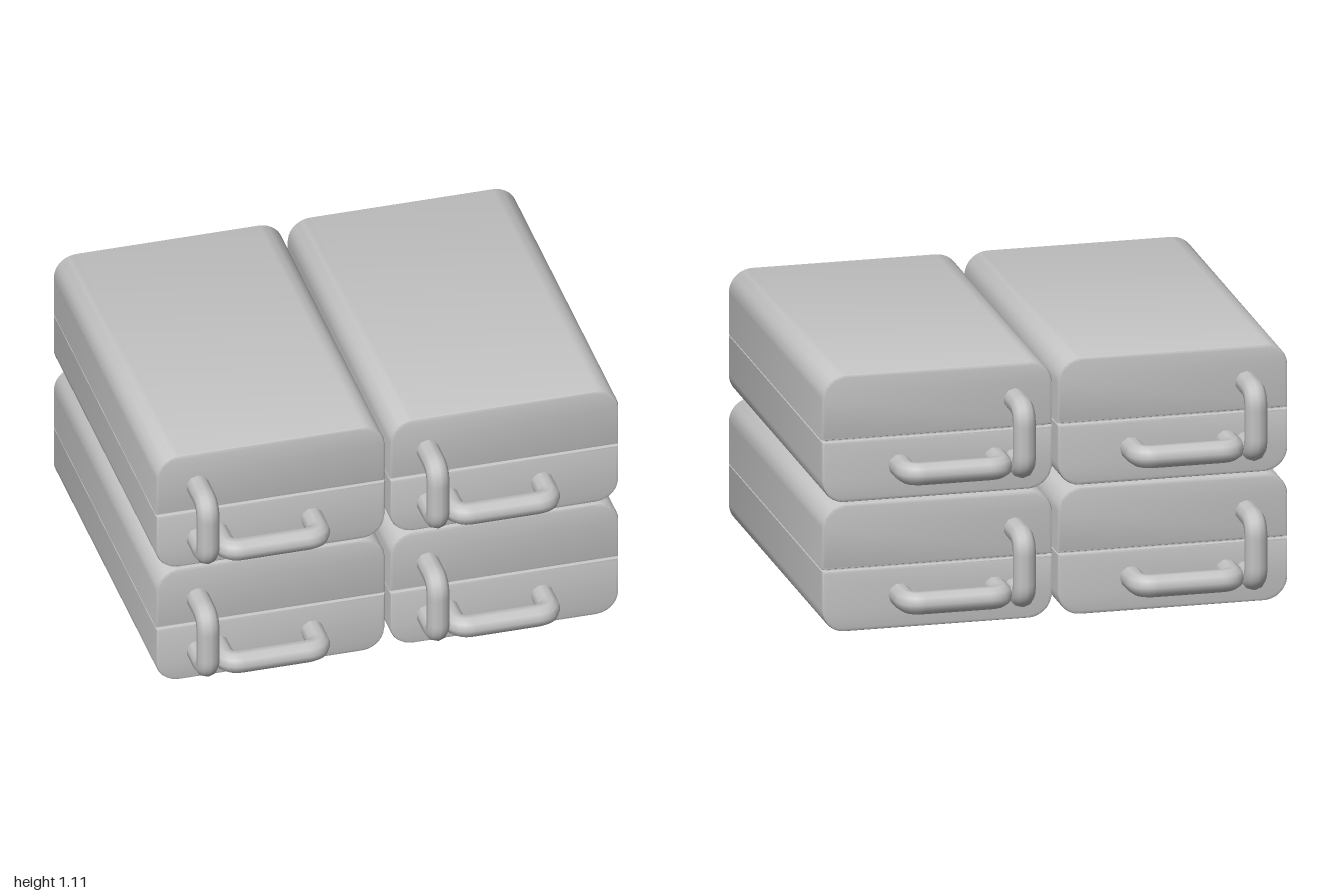
import * as THREE from 'three';
import { toCreasedNormals } from 'three/addons/utils/BufferGeometryUtils.js';

const WIDTH = 0.985, HEIGHT = 0.553, DEPTH = 1.585, SEAM = 0.27;
const CORNER = 0.1, BEVEL = 0.012, TUBE = 0.048;

const grey = new THREE.MeshStandardMaterial({ color: 0xc4c4c4 });
grey.name = 'grey';

function part(name, geometry) {
  const mesh = new THREE.Mesh(geometry, grey);
  mesh.name = name;
  return mesh;
}

// Half of a case: flat along the seam (y = 0), rounded along the outer edges
function shellHalf(height) {
  const w = WIDTH / 2 - BEVEL, h = height - BEVEL, r = CORNER - BEVEL;
  const s = new THREE.Shape();
  s.moveTo(-w, BEVEL);
  s.lineTo(w, BEVEL);
  s.lineTo(w, h - r);
  s.absarc(w - r, h - r, r, 0, Math.PI / 2, false);
  s.lineTo(-w + r, h);
  s.absarc(-w + r, h - r, r, Math.PI / 2, Math.PI, false);
  s.closePath();
  const geometry = new THREE.ExtrudeGeometry(s, {
    depth: DEPTH - 2 * BEVEL, bevelThickness: BEVEL, bevelSize: BEVEL,
    bevelSegments: 2, curveSegments: 6,
  });
  geometry.translate(0, 0, -DEPTH / 2 + BEVEL);
  return toCreasedNormals(geometry, 0.7);
}

// U-shaped grip: straight runs joined by short rounded bends
function grip(name, points) {
  const path = new THREE.CurvePath();
  const p = points.map((a) => new THREE.Vector3(...a));
  let last = p[0];
  for (let i = 1; i < p.length - 1; i++) {
    const a = p[i].clone().add(p[i - 1].clone().sub(p[i]).setLength(0.065));
    const b = p[i].clone().add(p[i + 1].clone().sub(p[i]).setLength(0.065));
    path.add(new THREE.LineCurve3(last, a));
    path.add(new THREE.QuadraticBezierCurve3(a, p[i], b));
    last = b;
  }
  path.add(new THREE.LineCurve3(last, p[p.length - 1]));
  return part(name, new THREE.TubeGeometry(path, 48, TUBE, 10, false));
}

// Case with its two grips at each end; gripShift nudges the grips sideways
function makeCase(gripShift) {
  const group = new THREE.Group();
  group.name = 'case';

  const lid = part('lid', shellHalf(HEIGHT - SEAM - 0.003));
  lid.position.y = SEAM + 0.003;
  const base = part('base', shellHalf(SEAM - 0.003));
  base.rotation.z = Math.PI;
  base.position.y = SEAM - 0.003;
  const core = part('seamCore', new THREE.BoxGeometry(WIDTH - 0.035, 0.06, DEPTH - 0.035));
  core.position.y = SEAM;
  group.add(lid, base, core);

  for (const side of [1, -1]) {
    const inner = side * 0.76, outer = side * (1 - TUBE);
    const vx = -0.315 + gripShift, x0 = -0.23 + gripShift, x1 = 0.178 + gripShift;
    group.add(
      grip('uprightGrip', [
        [vx, 0.135, inner], [vx, 0.135, outer], [vx, 0.395, outer], [vx, 0.395, inner],
      ]),
      grip('levelGrip', [
        [x0, 0.145, inner], [x0, 0.15, outer - side * 0.006],
        [x1, 0.15, outer - side * 0.006], [x1, 0.145, inner],
      ]),
    );
  }
  return group;
}

export function createModel() {
  const model = new THREE.Group();
  model.name = 'stackedCases';
  // Two cases side by side, two layers high
  for (const level of [0, 1]) {
    for (const [x, gripShift] of [[-0.5075, 0], [0.5, -0.017]]) {
      const item = makeCase(gripShift);
      item.position.set(x, level * 0.56, 0);
      model.add(item);
    }
  }
  return model;
}
